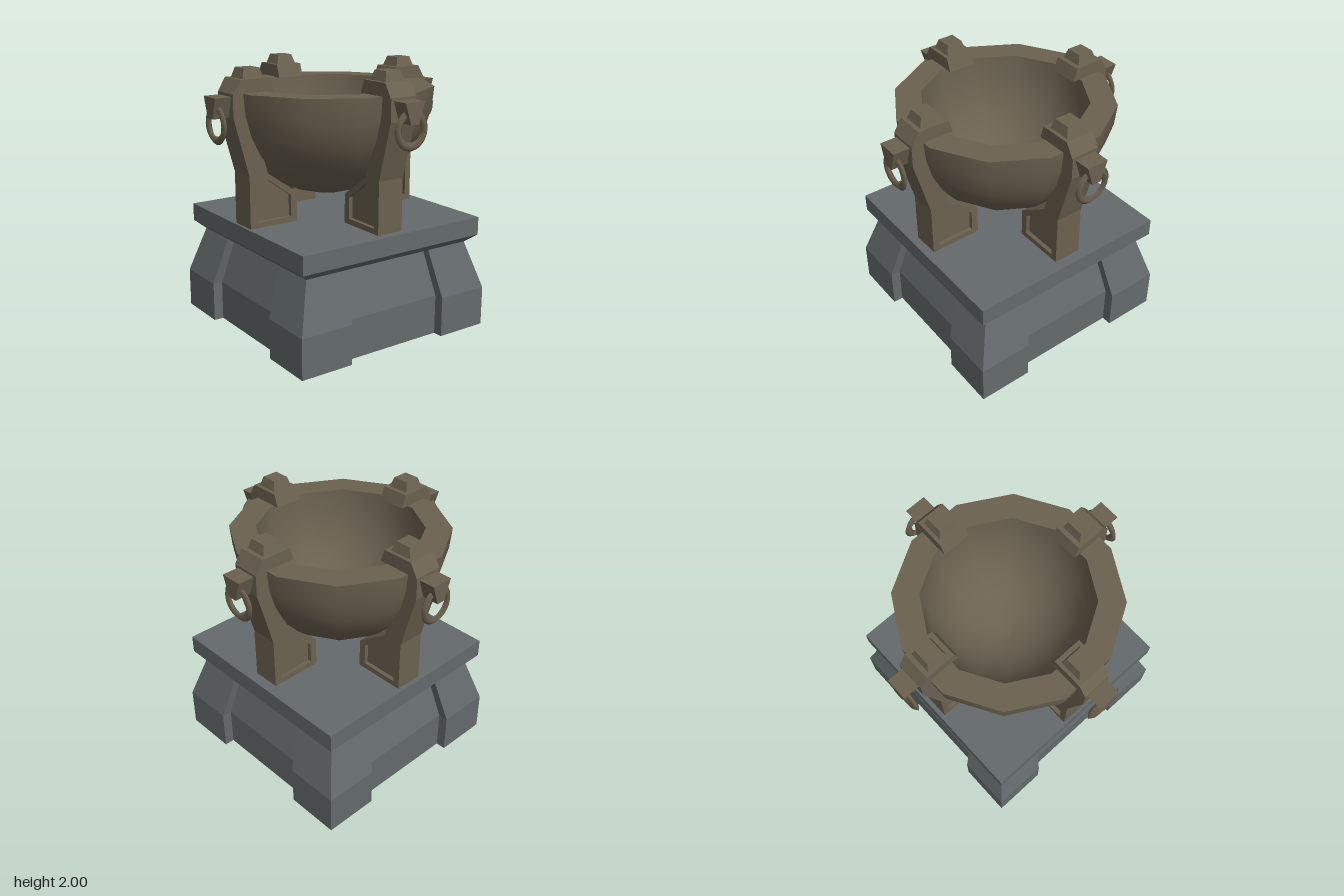
import * as THREE from 'three';

const stone = new THREE.MeshStandardMaterial({ color: 0x646a6c });
stone.name = 'grey stone';
const bronze = new THREE.MeshStandardMaterial({ color: 0x6b6150 });
bronze.name = 'dull bronze';

function mesh(name, geometry, material) {
  const m = new THREE.Mesh(geometry, material);
  m.name = name;
  return m;
}

const shapeOf = (pts) => new THREE.Shape(pts.map(([x, y]) => new THREE.Vector2(x, y)));
const square = (h) => [[-h, -h], [h, -h], [h, h], [-h, h]];

// Solid from one cross-section, scaled at each [height, scale] level
function loft(pts, levels) {
  const steps = levels.length - 1;
  const g = new THREE.ExtrudeGeometry(shapeOf(pts), { depth: steps, steps, bevelEnabled: false });
  g.rotateX(-Math.PI / 2);
  const p = g.attributes.position;
  for (let i = 0; i < p.count; i++) {
    const [y, s] = levels[Math.round(p.getY(i))];
    p.setXYZ(i, p.getX(i) * s, y, p.getZ(i) * s);
  }
  g.computeVertexNormals();
  return g;
}

// Side profile extruded between two z positions
function plate(pts, z0, z1, hole) {
  const s = shapeOf(pts);
  if (hole) s.holes.push(new THREE.Path(hole.map(([x, y]) => new THREE.Vector2(x, y))));
  return new THREE.ExtrudeGeometry(s, { depth: z1 - z0, bevelEnabled: false }).translate(0, 0, z0);
}

function createPedestal() {
  const g = new THREE.Group();
  g.name = 'pedestal';
  // Square outline with a shallow straight-sided recess in each side
  const H = 0.828, a = 0.415, d = 0.075, outline = [];
  for (let k = 0; k < 4; k++) {
    const c = Math.round(Math.cos(k * Math.PI / 2)), s = Math.round(Math.sin(k * Math.PI / 2));
    for (const [x, y] of [[-H, -H], [-a, -H], [-a, -H + d], [a, -H + d], [a, -H]])
      outline.push([x * c - y * s, x * s + y * c]);
  }
  g.add(mesh('plinth', loft(outline, [[0, 1], [0.3, 1], [0.66, 0.867]]), stone));
  g.add(mesh('slab', loft(square(0.79), [[0.66, 0.911], [0.72, 1], [0.857, 1]]), stone));
  g.position.set(0.03, 0, 0.016);
  return g;
}

function createBowl() {
  const g = new THREE.Group();
  g.name = 'bowl';
  const top = 1.835, R = 0.797, r = 0.605;
  const arc = (rad, depth) => Array.from({ length: 9 }, (_, i) => {
    const t = i * Math.PI / 16;
    return new THREE.Vector2(i ? rad * Math.sin(t) : 0, top - depth * Math.cos(t));
  });
  const lathe = (pts) => new THREE.LatheGeometry(pts, 12, Math.PI / 12);
  g.add(mesh('bowlOutside', lathe(arc(R, 0.815)), bronze));
  g.add(mesh('bowlRim', lathe([new THREE.Vector2(R, top), new THREE.Vector2(r, top)]), bronze));
  g.add(mesh('bowlInside', lathe(arc(r, 0.74).reverse()), bronze));
  g.position.set(-0.005, 0, -0.005);
  return g;
}

// One support, reaching outward along +x
function createSupport() {
  const g = new THREE.Group();
  g.name = 'support';
  const leg = [[0.345, 0.857], [0.74, 0.857], [0.74, 1.245], [0.855, 1.67], [0.855, 1.835],
    [0.7, 1.835], [0.69, 1.6], [0.59, 1.25], [0.345, 1.078]];
  const panel = [[0.398, 0.9], [0.398, 1.06], [0.59, 1.203], [0.69, 1.203], [0.69, 0.897]];
  const w = 0.106, core = 0.075;
  g.add(mesh('legCore', plate(leg, -core, core), bronze));
  g.add(mesh('legSide', plate(leg, core, w, panel), bronze));
  g.add(mesh('legSide', plate(leg, -w, -core, panel), bronze));

  // Clamp over the rim, with a small finial
  const cap = [[0.53, 1.832], [0.855, 1.832], [0.795, 1.93], [0.563, 1.93]];
  g.add(mesh('clamp', plate(cap, -0.11, 0.11), bronze));
  const finial = mesh('finial', loft(square(0.083), [[1.93, 1], [2, 0.74]]), bronze);
  finial.position.x = 0.68;
  g.add(finial);

  // Tapered lug carrying the ring
  const lug = plate([[-0.035, 1.665], [0.035, 1.665], [0.083, 1.815], [-0.083, 1.815]], 0.8, 0.978);
  g.add(mesh('lug', lug.rotateY(Math.PI / 2), bronze));

  // Ring with a diamond section, thinner than it is wide
  const ring = mesh('ring', new THREE.TorusGeometry(0.114, 0.03, 4, 20).scale(1, 1, 0.75), bronze);
  ring.rotation.y = Math.PI / 2;
  ring.position.set(0.935, 1.623, -0.005);
  g.add(ring);
  return g;
}

export function createModel() {
  const model = new THREE.Group();
  model.name = 'brazier';
  model.add(createPedestal(), createBowl());
  for (let k = 0; k < 4; k++) {
    const s = createSupport();
    s.rotation.y = k * Math.PI / 2;
    if (k % 2) s.position.x = 0.018;
    else s.position.z = -0.004;
    model.add(s);
  }
  return model;
}
